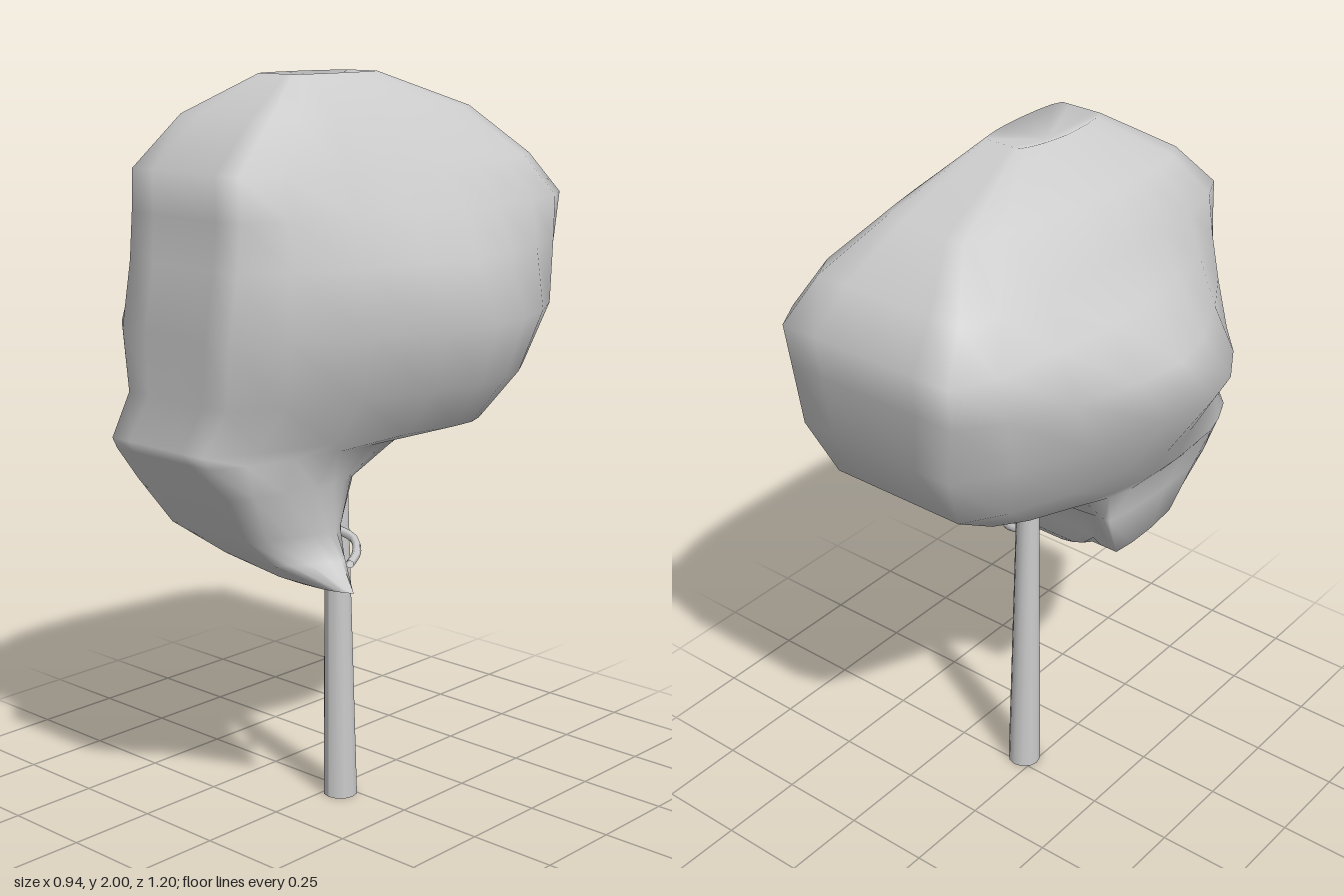
import * as THREE from 'three';

const SIDES = 24;

// Crown levels: y, right side x z, left side x z, back edge x x z, front edge x x z
const LEVELS = [
  [2.0, -0.04, 0.1, 0.12, 0.1, 0, 0.1, -0.04, -0.02, 0.1, 0.27],
  [1.9, -0.2, 0.1, 0.21, 0, -0.1, 0.14, -0.37, -0.16, 0.16, 0.41],
  [1.77, -0.27, 0.08, 0.31, -0.05, -0.2, 0.24, -0.51, -0.2, 0.18, 0.54],
  [1.66, -0.35, 0.05, 0.37, -0.08, -0.24, 0.28, -0.6, -0.2, 0.19, 0.545],
  [1.54, -0.465, 0.02, 0.43, -0.06, -0.23, 0.28, -0.58, -0.2, 0.19, 0.555],
  [1.37, -0.47, 0.17, 0.47, -0.1, -0.2, 0.27, -0.56, -0.2, 0.19, 0.585],
  [1.2, -0.37, 0.12, 0.4, -0.12, -0.16, 0.24, -0.48, -0.21, 0.15, 0.56],
  [1.08, -0.3, 0.15, 0.32, -0.1, -0.12, 0.22, -0.3, -0.24, 0.1, 0.595],
  [1.05, -0.27, 0.1, 0.22, 0.12, -0.13, 0.15, -0.1, -0.24, 0.11, 0.58],
  [0.96, -0.24, 0.05, 0.19, 0.22, -0.12, 0.12, 0.08, -0.23, 0.11, 0.52],
  [0.83, -0.23, 0.1, 0.17, 0.22, -0.1, 0.12, 0.13, -0.2, 0.08, 0.43],
  [0.75, -0.1, 0.24, 0.2, 0.2, -0.04, 0.14, 0.16, -0.08, 0.1, 0.35],
  [0.69, 0, 0.24, 0.28, 0.24, 0.05, 0.2, 0.22, 0.04, 0.2, 0.27],
];

// Lofted surface through closed rounded sections, flat at front and back, capped at both ends
function loft(levels, topPoint, bottomPoint) {
  const pos = [], idx = [];
  for (const [y, rx, rz, lx, lz, b0, b1, bz, f0, f1, fz] of levels) {
    const corners = [[lx, lz], [f1, fz], [f0, fz], [rx, rz], [b0, bz], [b1, bz]];
    const ring = new THREE.CatmullRomCurve3(
      corners.map(([x, z]) => new THREE.Vector3(x, y, z)), true, 'catmullrom', 0.42);
    for (let j = 0; j < SIDES; j++) {
      const { x, z } = ring.getPoint(j / SIDES);
      pos.push(x, y, THREE.MathUtils.clamp(z, Math.min(bz, rz), fz));
    }
  }
  const top = levels.length * SIDES, bottom = top + 1;
  pos.push(...topPoint, ...bottomPoint);
  const last = (levels.length - 1) * SIDES;
  for (let j = 0; j < SIDES; j++) {
    const k = (j + 1) % SIDES;
    for (let r = 0; r < last; r += SIDES) {
      idx.push(r + j, r + k, r + SIDES + j, r + k, r + SIDES + k, r + SIDES + j);
    }
    idx.push(top, k, j, bottom, last + j, last + k);
  }
  const g = new THREE.BufferGeometry();
  g.setAttribute('position', new THREE.Float32BufferAttribute(pos, 3));
  g.setIndex(idx);
  g.computeVertexNormals();
  return g;
}

export function createModel() {
  const group = new THREE.Group();
  const material = new THREE.MeshStandardMaterial({ color: 0xcccccc, side: THREE.DoubleSide });
  const add = (name, geometry) => {
    const mesh = new THREE.Mesh(geometry, material);
    mesh.name = name;
    group.add(mesh);
  };

  // Leafy crown: bulky at the back, with a lobe hanging down at the front
  add('crown', loft(LEVELS, [0.04, 1.96, 0.13], [0.1, 0.675, 0.24]));

  // Open tapered trunk, its axis leaning slightly forward into the crown
  const trunk = new THREE.CylinderGeometry(0.03, 0.048, 1.03, 12, 1, true);
  trunk.translate(0.037, 0.515, 0);
  const p = trunk.attributes.position;
  for (let i = 0; i < p.count; i++) p.setZ(i, p.getZ(i) + 0.03 + 0.018 * p.getY(i));
  trunk.computeVertexNormals();
  add('trunk', trunk);

  // Thin curled leaf edge under the front lobe
  const curl = new THREE.CatmullRomCurve3([
    new THREE.Vector3(0.06, 0.79, 0.08),
    new THREE.Vector3(0.13, 0.775, 0.08),
    new THREE.Vector3(0.18, 0.755, 0.12),
    new THREE.Vector3(0.21, 0.74, 0.18),
  ]);
  add('curledLeafEdge', new THREE.TubeGeometry(curl, 8, 0.012, 6));

  return group;
}
